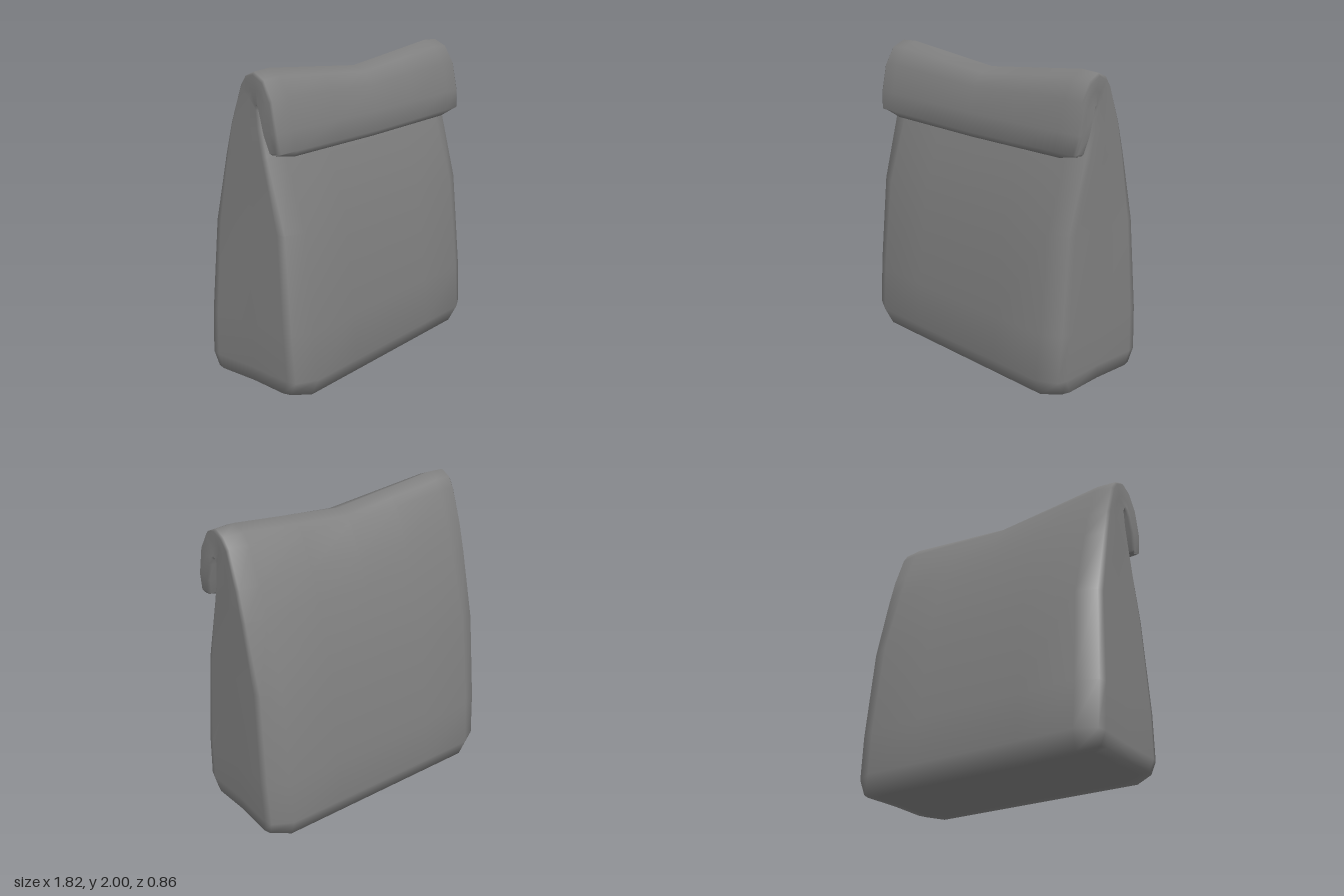
import * as THREE from 'three';

// Cross-sections from base to the end of the folded flap:
// front z, front y, back z, back y, half width, sag at the middle, lift at the sides
const RINGS = [
  [0.30, 0.005, -0.31, 0.005, 0.80, 0, 0.01],
  [0.37, 0.0, -0.385, 0.0, 0.88, 0, 0.025],
  [0.43, 0.12, -0.43, 0.12, 0.89, 0, 0],
  [0.405, 0.42, -0.405, 0.42, 0.898, 0, 0],
  [0.34, 1.05, -0.34, 1.03, 0.885, 0, 0],
  [0.193, 1.5, -0.205, 1.48, 0.89, 0, 0],
  [0.145, 1.66, -0.145, 1.67, 0.89, 0.01, 0],
  [0.117, 1.745, -0.05, 1.9, 0.89, 0.05, 0.01],
  [0.115, 1.76, 0.0, 1.965, 0.895, 0.075, 0.012],
  [0.116, 1.77, 0.08, 2.0, 0.90, 0.08, 0.012],
  [0.12, 1.76, 0.17, 1.96, 0.905, 0.07, 0.01],
  [0.127, 1.74, 0.24, 1.85, 0.91, 0.04, 0],
  [0.158, 1.64, 0.277, 1.66, 0.912, 0.01, 0],
  [0.19, 1.535, 0.29, 1.54, 0.895, 0.01, 0],
  [0.208, 1.502, 0.25, 1.497, 0.885, 0.007, 0.025],
];

// One half of a section: share of depth from front to back, inset from the half width
const HALF = [
  [0, 0.14], [0.08, 0.015], [0.15, 0], [0.5, 0.012], [0.85, 0], [0.92, 0.015], [1, 0.14],
];

function sectionPoints([fz, fy, bz, by, w, sag, lift]) {
  const side = HALF.map(([t, inset]) => [w - inset, t]);
  const half = w - 0.14;
  const outline = [
    [0, 0], [half / 2, 0], ...side, [half / 2, 1],
    [0, 1], [-half / 2, 1], ...side.map(([x, t]) => [-x, t]).reverse(), [-half / 2, 0],
  ];
  return outline.map(([x, t]) => {
    const middle = Math.max(0, 1 - Math.abs(x) / half);
    const edge = THREE.MathUtils.clamp((Math.abs(x) - half) / 0.12, 0, 1);
    return new THREE.Vector3(
      x,
      THREE.MathUtils.lerp(fy, by, t) - sag * middle + lift * edge,
      THREE.MathUtils.lerp(fz, bz, t),
    );
  });
}

// Skin through the sections, closed by a fan at both ends
function loft(sections) {
  const n = sections[0].length;
  const positions = sections.flat().flatMap((p) => p.toArray());
  const index = [];
  for (let r = 0; r < sections.length - 1; r++) {
    for (let i = 0; i < n; i++) {
      const j = (i + 1) % n;
      const a = r * n + i, b = r * n + j;
      index.push(a, b, b + n, a, b + n, a + n);
    }
  }
  [0, sections.length - 1].forEach((r, end) => {
    const centre = new THREE.Vector3();
    sections[r].forEach((p) => centre.addScaledVector(p, 1 / n));
    const c = positions.length / 3;
    positions.push(...centre.toArray());
    for (let i = 0; i < n; i++) {
      const a = r * n + i, b = r * n + ((i + 1) % n);
      if (end) index.push(c, a, b);
      else index.push(c, b, a);
    }
  });
  const geometry = new THREE.BufferGeometry();
  geometry.setAttribute('position', new THREE.Float32BufferAttribute(positions, 3));
  geometry.setIndex(index);
  geometry.computeVertexNormals();
  return geometry;
}

export function createModel() {
  const group = new THREE.Group();
  group.name = 'paperBag';

  // Bag body, tapering upward and rolling over into the front flap
  const material = new THREE.MeshStandardMaterial({ color: 0x808080 });
  const bag = new THREE.Mesh(loft(RINGS.map(sectionPoints)), material);
  bag.name = 'foldedBag';
  group.add(bag);
  return group;
}
